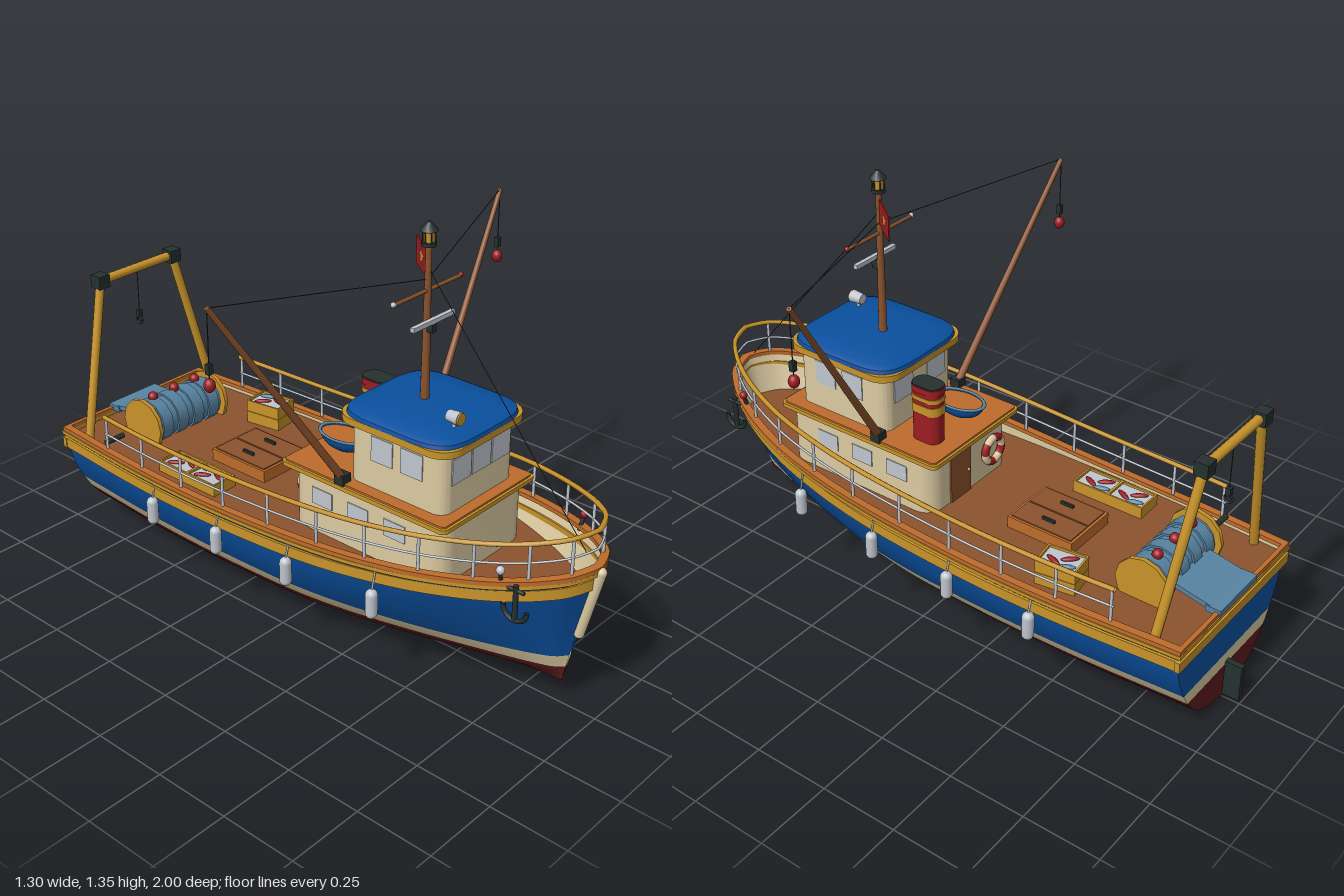
import * as THREE from 'three';
import { toCreasedNormals } from 'three/addons/utils/BufferGeometryUtils.js';

const V = (x, y, z) => new THREE.Vector3(x, y, z);
const paint = (name, color) => new THREE.MeshStandardMaterial({ name, color, side: THREE.DoubleSide });

export function createModel() {
  const boat = new THREE.Group();
  boat.name = 'fishingBoat';
  const blue = paint('blue', 0x0a509f), cream = paint('cream', 0xdccba2), bottomRed = paint('bottomRed', 0x5e1c1e);
  const red = paint('red', 0x9c1c21), yellow = paint('yellow', 0xc9942a), orange = paint('orange', 0xbd6c2c);
  const brown = paint('brown', 0x8b532d), dark = paint('dark', 0x24302f), grey = paint('grey', 0xc0c6ce);
  const netBlue = paint('netBlue', 0x5884a2);

  // ---- helpers
  const add = (name, geo, mat, x = 0, y = 0, z = 0, parent = boat) => {
    const m = new THREE.Mesh(geo, mat);
    m.name = name;
    m.position.set(x, y, z);
    parent.add(m);
    return m;
  };
  const box = (name, mat, w, h, d, x, y, z, parent) => add(name, new THREE.BoxGeometry(w, h, d), mat, x, y, z, parent);
  const ball = (name, mat, r, x, y, z, parent) => add(name, new THREE.SphereGeometry(r, 14, 10), mat, x, y, z, parent);
  const rod = (name, mat, a, b, r, r2 = r, parent = boat) => {
    const d = b.clone().sub(a), mid = a.clone().add(b).multiplyScalar(0.5);
    const m = add(name, new THREE.CylinderGeometry(r2, r, d.length(), 12), mat, mid.x, mid.y, mid.z, parent);
    m.quaternion.setFromUnitVectors(V(0, 1, 0), d.normalize());
    return m;
  };
  // upright slab with rounded corners, base at y
  const slab = (name, mat, w, h, d, r, x, y, z) => {
    const s = new THREE.Shape(), a = w / 2 - r, b = d / 2 - r;
    s.absarc(a, b, r, 0, Math.PI / 2).absarc(-a, b, r, Math.PI / 2, Math.PI);
    s.absarc(-a, -b, r, Math.PI, Math.PI * 1.5).absarc(a, -b, r, Math.PI * 1.5, Math.PI * 2);
    const g = new THREE.ExtrudeGeometry(s, { depth: h, bevelEnabled: false, curveSegments: 8 }).rotateX(-Math.PI / 2);
    return add(name, toCreasedNormals(g, 0.5), mat, x, y, z);
  };
  // grid surface; bands = [rows, materialIndex] pairs
  const surface = (nu, nv, fn, bands = []) => {
    const pos = [], idx = [], g = new THREE.BufferGeometry();
    for (let i = 0; i <= nu; i++) for (let j = 0; j <= nv; j++) pos.push(...fn(i, j));
    for (let i = 0; i < nu; i++) for (let j = 0; j < nv; j++) {
      const a = i * (nv + 1) + j, b = a + nv + 1;
      idx.push(a, b, a + 1, b, b + 1, a + 1);
    }
    g.setAttribute('position', new THREE.Float32BufferAttribute(pos, 3));
    g.setIndex(idx);
    let start = 0;
    for (const [rows, m] of bands) { g.addGroup(start, rows * nv * 6, m); start += rows * nv * 6; }
    return toCreasedNormals(g, 0.6);
  };
  const table = (xs, ys) => {
    const c = new THREE.CubicInterpolant(xs, ys, 1);
    return x => c.evaluate(Math.min(Math.max(x, xs[0]), xs[xs.length - 1]))[0];
  };

  // ---- hull lines
  const beam = table([-0.945, -0.6, -0.2, 0.2, 0.4, 0.6, 0.8, 0.9, 0.945, 0.97], [0.305, 0.328, 0.338, 0.331, 0.313, 0.275, 0.196, 0.127, 0.075, 0.01]);
  const sheer = table([-0.945, -0.3, 0, 0.3, 0.6, 0.8, 0.97], [0.377, 0.377, 0.39, 0.41, 0.44, 0.465, 0.495]);
  const keel = table([-0.945, -0.5, -0.1, 0.3, 0.6, 0.97], [0.01, 0.002, 0.01, 0.03, 0.05, 0.08]);
  const section = table([0, 0.1, 0.23, 0.44, 0.67, 0.9, 1], [0, 0.43, 0.63, 0.81, 0.94, 1, 1]);
  const zAt = s => -0.945 + 1.915 * s;
  const hullPoint = (s, y) => {
    const z = zAt(s), u = (y - keel(z)) / (sheer(z) - keel(z));
    const f = THREE.MathUtils.lerp(section(u), Math.max(u, 0), 0.5 * THREE.MathUtils.smoothstep(s, 0.5, 1));
    return [beam(z) * f, y, -0.945 + s * (1.825 + 0.09 * (y - 0.08) / 0.415)];
  };
  const levels = s => {
    const z = zAt(s), k = keel(z), top = sheer(z), out = [];
    for (let i = 0; i <= 6; i++) out.push(k + (0.135 - k) * (i / 6) ** 1.5);
    for (let i = 0; i <= 6; i++) out.push(0.18 + (top - 0.18) * i / 6);
    return out;
  };
  const hullMats = [blue, cream, bottomRed], NS = 48;
  add('hull', surface(26, NS, (i, j) => {
    const s = 1 - (1 - j / NS) ** 1.4, k = Math.abs(i - 13);
    const [x, y, z] = hullPoint(s, levels(s)[k]);
    return [Math.sign(i - 13) * x, y, z];
  }, [[6, 0], [1, 1], [12, 2], [1, 1], [6, 0]]), hullMats);
  add('transom', surface(13, 2, (i, j) => {
    const [x, y, z] = hullPoint(0, levels(0)[i]);
    return [(j - 1) * x, y, z];
  }, [[6, 2], [1, 1], [6, 0]]), hullMats);

  // ---- path around the sheer from the right stern, round the bow, to the left stern
  const edge = (p, dy) => {
    const s = 1 - Math.abs(p), [x, y, z] = hullPoint(s, sheer(zAt(s)) + dy);
    return V(Math.sign(p) * x, y, z);
  };
  const around = (p, dy, out) => {
    const a = edge(Math.max(p - 0.004, -1), dy), b = edge(Math.min(p + 0.004, 1), dy);
    const t = b.sub(a).setY(0).normalize();
    return edge(p, dy).add(V(-t.z, 0, t.x).multiplyScalar(out));
  };
  const NP = 96, pAt = i => { const t = i / NP * 2 - 1; return Math.sign(t) * Math.abs(t) ** 1.5; };
  const band = (name, mat, inn, out, lo, hi) => {
    const loop = [[out, lo], [out, hi], [inn, hi], [inn, lo], [out, lo]], base = Math.min(lo, 0);
    add(name, surface(NP, 4, (i, j) => {
      const q = around(pAt(i), base, loop[j][0]);
      return [q.x, q.y + loop[j][1] - base, q.z];
    }), mat);
    box(name + 'Stern', mat, 0.61 + out * 2, hi - lo, out + 0.004, 0, 0.377 + (hi + lo) / 2, -0.943 - out / 2);
  };
  band('capRail', orange, -0.015, 0.01, 0, 0.014);
  band('capTrim', yellow, -0.004, 0.013, -0.012, 0);
  band('rubbingStrake', yellow, -0.004, 0.012, -0.06, -0.025);
  const deckY = 0.362;
  add('bulwarkInside', surface(NP, 3, (i, j) => {
    const p = pAt(i), drop = deckY - sheer(zAt(1 - Math.abs(p)));
    const q = around(p, drop * j / 3, -0.01);
    return [q.x, q.y, q.z];
  }), cream);
  add('deck', surface(2, NS, (i, j) => {
    const [x, , z] = hullPoint(j / NS, deckY);
    return [(1 - i) * Math.max(x - 0.004, 0), deckY, z];
  }), brown);

  // ---- railing
  const railAt = (p, h) => { const q = around(p, 0, -0.008); q.y += h; return q; };
  for (const [name, mat, h, r] of [['handrail', yellow, 0.125, 0.008], ['middleRail', grey, 0.065, 0.004]]) {
    const pts = [];
    for (let i = 0; i <= 60; i++) { const t = i / 30 - 1; pts.push(railAt(Math.sign(t) * 0.89 * Math.abs(t) ** 1.5, h)); }
    add(name, new THREE.TubeGeometry(new THREE.CatmullRomCurve3(pts), 120, r, 6), mat);
  }
  for (const p of [0.015, 0.06, 0.13, 0.21, 0.3, 0.39, 0.49, 0.59, 0.69, 0.79, 0.885]) for (const s of [-1, 1])
    rod('railPost', grey, railAt(s * p, 0), railAt(s * p, 0.125), 0.005);

  // ---- deckhouse and wheelhouse
  slab('deckhouse', cream, 0.41, 0.19, 0.58, 0.06, 0, deckY, 0.29);
  slab('deckhouseTrim', yellow, 0.438, 0.014, 0.63, 0.02, 0, 0.55, 0.285);
  slab('deckhouseRoof', orange, 0.422, 0.006, 0.614, 0.015, 0, 0.564, 0.285);
  slab('wheelhouse', cream, 0.34, 0.2, 0.355, 0.04, 0, 0.568, 0.378);
  slab('wheelhouseEave', yellow, 0.4, 0.022, 0.42, 0.07, 0, 0.764, 0.375);
  const ring = [[1, 0], [0.985, 0.012], [0.9, 0.021], [0.6, 0.028], [0, 0.032]];
  const soft = c => Math.sign(c) * Math.abs(c) ** 0.45;
  add('wheelhouseRoof', surface(4, 48, (i, j) => {
    const a = j / 48 * Math.PI * 2, [k, y] = ring[i];
    return [0.2 * k * soft(Math.cos(a)), y, 0.21 * k * soft(Math.sin(a))];
  }), blue, 0, 0.786, 0.375);
  for (const x of [-0.092, 0, 0.092]) box('frontWindow', grey, 0.086, 0.082, 0.006, x, 0.7, 0.556);
  for (const s of [-1, 1]) {
    for (const z of [0.44, 0.33]) box('sideWindow', grey, 0.006, 0.08, 0.08, s * 0.17, 0.7, z);
    for (const z of [0.13, 0.27, 0.41]) box('deckhouseWindow', grey, 0.006, 0.055, 0.08, s * 0.205, 0.485, z);
    box('rearWindow', grey, 0.09, 0.08, 0.006, s * 0.08, 0.7, 0.2);
  }
  box('aftDoor', brown, 0.1, 0.165, 0.008, 0.055, 0.445, -0.002);
  ball('doorKnob', yellow, 0.006, 0.02, 0.445, -0.008);
  for (let i = 0; i < 8; i++)
    add('lifeRing', new THREE.TorusGeometry(0.042, 0.013, 8, 5, Math.PI / 4), i % 2 ? cream : red, -0.1, 0.46, -0.014).rotation.z = i * Math.PI / 4;

  // ---- funnel, dinghy, searchlight
  slab('funnel', red, 0.068, 0.18, 0.1, 0.03, 0.1, 0.57, 0.085);
  slab('funnelBand', yellow, 0.074, 0.03, 0.106, 0.033, 0.1, 0.67, 0.085);
  slab('funnelBand', yellow, 0.074, 0.014, 0.106, 0.033, 0.1, 0.715, 0.085);
  slab('funnelLip', red, 0.074, 0.02, 0.108, 0.034, 0.1, 0.742, 0.085);
  slab('funnelCap', dark, 0.07, 0.006, 0.104, 0.032, 0.1, 0.76, 0.085);
  const dinghy = new THREE.Group();
  dinghy.name = 'dinghy';
  dinghy.position.set(-0.055, 0.63, 0.085);
  dinghy.scale.set(0.055, 0.055, 0.088);
  boat.add(dinghy);
  add('dinghyHull', new THREE.SphereGeometry(1, 24, 8, 0, Math.PI * 2, Math.PI / 2, Math.PI / 2), blue, 0, 0, 0, dinghy);
  add('dinghyRim', new THREE.TorusGeometry(1, 0.08, 6, 28).rotateX(Math.PI / 2), netBlue, 0, 0, 0, dinghy);
  add('dinghyFloor', new THREE.CircleGeometry(0.97, 24).rotateX(-Math.PI / 2), orange, 0, -0.12, 0, dinghy);
  rod('searchlightPost', grey, V(-0.08, 0.8, 0.515), V(-0.08, 0.84, 0.515), 0.006);
  rod('searchlight', grey, V(-0.08, 0.842, 0.495), V(-0.08, 0.842, 0.537), 0.017, 0.021);
  rod('searchlightLens', yellow, V(-0.08, 0.842, 0.537), V(-0.08, 0.842, 0.542), 0.019);

  // ---- mast with lantern, yard, radar bar and flag
  const mz = 0.345;
  rod('mast', brown, V(0, 0.8, mz), V(0, 1.3, mz), 0.014, 0.009);
  rod('yard', brown, V(-0.15, 1.152, mz), V(0.15, 1.152, mz), 0.006);
  for (const s of [-1, 1]) ball('yardLamp', s < 0 ? grey : red, 0.008, s * 0.15, 1.154, mz);
  box('radarBar', grey, 0.185, 0.014, 0.014, 0, 1.065, mz + 0.022);
  box('radarMount', dark, 0.02, 0.03, 0.026, 0, 1.045, mz + 0.015);
  rod('lanternBase', dark, V(0, 1.285, mz), V(0, 1.297, mz), 0.022);
  rod('lanternGlass', yellow, V(0, 1.297, mz), V(0, 1.33, mz), 0.016);
  for (let i = 0; i < 6; i++) {
    const x = 0.018 * Math.cos(i * Math.PI / 3), z = mz + 0.018 * Math.sin(i * Math.PI / 3);
    rod('lanternBar', dark, V(x, 1.297, z), V(x, 1.33, z), 0.002);
  }
  rod('lanternCap', dark, V(0, 1.33, mz), V(0, 1.355, mz), 0.027, 0.006);
  const flag = new THREE.Group();
  flag.name = 'flag';
  flag.position.set(0, 1.225, mz);
  flag.rotation.y = 0.92;
  boat.add(flag);
  box('flagCloth', red, 0.124, 0.082, 0.004, 0.075, 0, 0, flag);
  const star = new THREE.Shape(Array.from({ length: 10 }, (_, i) => {
    const r = i % 2 ? 0.012 : 0.03, a = Math.PI / 2 + i * Math.PI / 5;
    return new THREE.Vector2(r * Math.cos(a), r * Math.sin(a));
  }));
  for (const s of [-1, 1]) add('flagStar', new THREE.ShapeGeometry(star), yellow, 0.075, 0, s * 0.003, flag);
  rod('forestay', dark, V(0, 1.22, mz), V(0, 0.53, 0.93), 0.0013);

  for (const s of [-1, 1]) {
    // booms and hanging tackle
    const tip = V(s * 0.635, 1.235, 0.12);
    rod('boom', brown, V(s * 0.195, 0.575, 0.205), tip, 0.013, 0.008);
    box('boomFoot', dark, 0.035, 0.035, 0.035, s * 0.2, 0.58, 0.205);
    rod('boomStay', dark, V(0, 1.185, mz), tip, 0.0013);
    rod('tackleLine', dark, tip, V(s * 0.635, 1.03, 0.12), 0.0015);
    box('tackleBlock', dark, 0.016, 0.03, 0.016, s * 0.635, 1.06, 0.12);
    ball('tackleFloat', red, 0.017, s * 0.635, 1.012, 0.12).scale.y = 1.2;
    // stern gantry legs
    rod('gantryLeg', yellow, V(s * 0.285, 0.365, -0.855), V(s * 0.158, 0.89, -0.895), 0.015);
    box('gantryBlock', dark, 0.044, 0.044, 0.044, s * 0.158, 0.89, -0.895);
    // fenders along the sides, following the sheer
    for (const z of [0.43, 0.115, -0.18, -0.475]) {
      const x = s * (beam(z) + 0.018), y = 0.288 + 0.04 * z;
      add('fender', new THREE.CapsuleGeometry(0.019, 0.06, 6, 12), grey, x, y, z);
      rod('fenderRope', grey, V(x, y + 0.04, z), V(s * beam(z), sheer(z), z), 0.003);
    }
    // bow anchors lying along the sides
    const anchor = new THREE.Group();
    anchor.name = 'anchor';
    anchor.position.set(s * 0.196, 0.365, 0.835);
    anchor.rotation.y = Math.PI / 2;
    boat.add(anchor);
    rod('anchorShank', dark, V(0, 0, 0), V(0, 0.115, 0), 0.008, 0.008, anchor);
    rod('anchorStock', dark, V(-0.028, 0.1, 0), V(0.028, 0.1, 0), 0.006, 0.006, anchor);
    add('anchorArms', new THREE.TorusGeometry(0.04, 0.008, 6, 12, Math.PI), dark, 0, 0.042, 0, anchor).rotation.z = Math.PI;
    // bow side lamps
    ball('sideLamp', s > 0 ? red : grey, 0.013, s * 0.203, 0.512, 0.785);
    rod('lampPost', dark, V(s * 0.19, 0.46, 0.78), V(s * 0.203, 0.505, 0.785), 0.006);
  }
  rod('gantryBeam', yellow, V(-0.158, 0.89, -0.895), V(0.158, 0.89, -0.895), 0.015);
  rod('gantryLine', dark, V(0, 0.89, -0.895), V(0, 0.72, -0.895), 0.0015);
  box('gantryPulley', dark, 0.016, 0.025, 0.016, 0, 0.725, -0.895);
  add('gantryHook', new THREE.TorusGeometry(0.012, 0.004, 6, 12, 4.5), dark, 0, 0.7, -0.895).rotation.set(0, Math.PI / 2, 2.4);
  rod('bowFender', cream, V(0, 0.265, 0.925), V(0, 0.49, 0.98), 0.016);
  for (const [y, z] of [[0.265, 0.925], [0.49, 0.98]]) ball('bowFenderEnd', cream, 0.016, 0, y, z);
  box('rudder', dark, 0.02, 0.125, 0.058, 0, 0.083, -0.971);

  // ---- net drum with floats and the net trailing aft
  const drumY = 0.415, drumZ = -0.73;
  rod('netDrum', netBlue, V(-0.14, drumY, drumZ), V(0.14, drumY, drumZ), 0.07);
  for (const x of [-0.105, -0.035, 0.035, 0.105])
    rod('netRoll', netBlue, V(x - 0.022, drumY, drumZ), V(x + 0.022, drumY, drumZ), 0.077);
  for (const s of [-1, 1]) rod('drumFlange', yellow, V(s * 0.143, drumY, drumZ), V(s * 0.157, drumY, drumZ), 0.09);
  for (const x of [-0.095, 0, 0.095]) ball('netFloat', red, 0.017, x, drumY + 0.08, drumZ - 0.01);
  box('trailingNet', netBlue, 0.2, 0.016, 0.15, 0, 0.405, -0.86).rotation.x = -0.2;
  box('netEnd', netBlue, 0.21, 0.02, 0.05, 0, 0.39, -0.935);

  // ---- hatch and fish crates
  box('hatch', orange, 0.2, 0.04, 0.235, 0, 0.382, -0.335);
  for (const s of [-1, 1]) {
    box('hatchLid', brown, 0.089, 0.006, 0.217, s * 0.0475, 0.403, -0.335);
    box('hatchHandle', dark, 0.008, 0.012, 0.045, s * 0.05, 0.41, -0.335);
  }
  for (const [x, z, turn, stack] of [[-0.225, -0.457, 0, 1], [-0.225, -0.335, 0, 1], [0.222, -0.5, 0.15, 2]]) {
    const crate = new THREE.Group();
    crate.name = 'fishCrate';
    crate.position.set(x, deckY, z);
    crate.rotation.y = turn;
    boat.add(crate);
    for (let k = 0; k < stack; k++) {
      for (const s of [-1, 1]) {
        box('crateSide', yellow, 0.006, 0.04, 0.13, s * 0.044, 0.022 + k * 0.042, 0, crate);
        box('crateEnd', yellow, 0.088, 0.04, 0.006, 0, 0.022 + k * 0.042, s * 0.062, crate);
      }
      box('ice', grey, 0.082, 0.028, 0.118, 0, 0.02 + k * 0.042, 0, crate);
    }
    for (const [mat, fx, fz, a] of [[red, -0.014, -0.02, 0.6], [red, 0.012, 0.022, -0.5], [netBlue, 0.024, -0.026, 0.3]]) {
      const fish = ball('fish', mat, 0.011, fx, stack * 0.042 - 0.005, fz, crate);
      fish.scale.set(0.8, 0.6, 2.6);
      fish.rotation.y = a;
    }
  }
  rod('netRoller', dark, V(-0.305, 0.4, -0.745), V(-0.23, 0.4, -0.745), 0.009);
  return boat;
}
